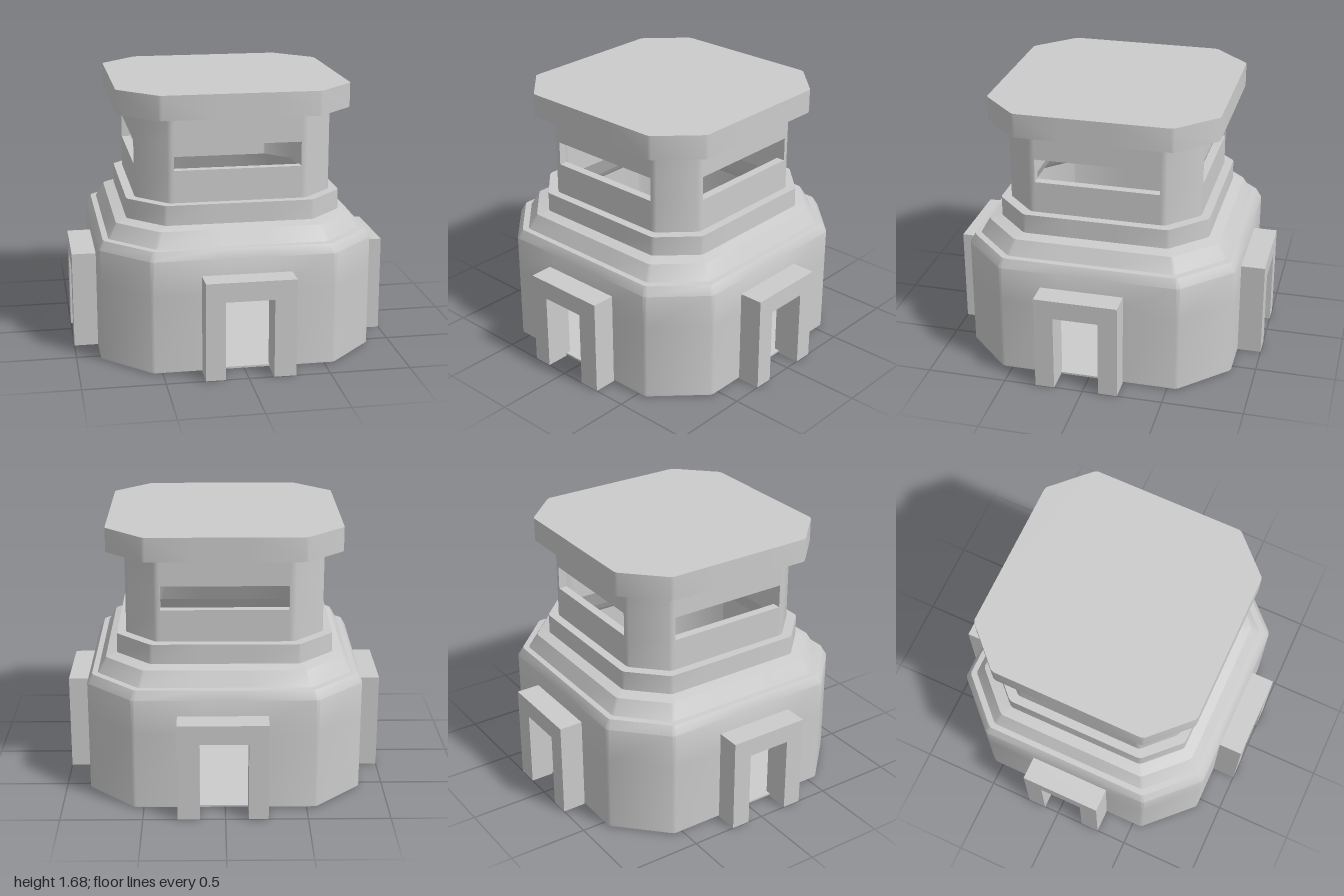
import * as THREE from 'three';
import { toCreasedNormals } from 'three/addons/utils/BufferGeometryUtils.js';

const material = new THREE.MeshStandardMaterial({ color: 0xcccccc });
const CREASE = THREE.MathUtils.degToRad(35);

// Per side (front, left, back, right): portal from/to, doorway from/to
const PORTALS = [
  [-0.26, 0.29, -0.14, 0.155],
  [-0.30, 0.22, -0.18, 0.10],
  [-0.29, 0.26, -0.155, 0.14],
  [-0.22, 0.30, -0.10, 0.18],
];
const DOORS = PORTALS.map((p) => [p[2], p[3]]);
const SLITS = PORTALS.map(() => [-0.39, 0.39]);

const cornerAt = (half) => 0.42 + (half - 0.61) * 0.58;

// Square outline with cut, slightly eased corners; six columns per side
function outline(half, corner, ease, openings, y) {
  const points = [];
  const up = new THREE.Vector3(0, 1, 0);
  const e = ease * Math.SQRT1_2;
  for (let k = 0; k < 4; k++) {
    const [a, b] = openings[k];
    const side = [
      [-corner + ease, half], [a, half], [b, half], [corner - ease, half],
      [corner + e, half - e], [half - e, corner + e],
    ];
    for (const [u, w] of side) {
      points.push(new THREE.Vector3(u, y, w).applyAxisAngle(up, k * Math.PI / 2));
    }
  }
  return points;
}

// Hollow wall from rows of [y, outer half width, inner half width];
// the opening column of each side is left out in openRow
function shell(name, rows, openings, openRow) {
  const outer = rows.map(([y, o]) => outline(o, cornerAt(o), 0.012, openings, y));
  const inner = rows.map(([y, o, i]) =>
    outline(i, cornerAt(o) - (o - i) * 0.414, 0.004, openings, y));
  const n = outer[0].length;
  const positions = [];
  const quad = (a, b, c, d) => {
    for (const p of [a, b, c, a, c, d]) positions.push(p.x, p.y, p.z);
  };
  const solid = (j, i) =>
    j >= 0 && j < rows.length - 1 && !(j === openRow && (i + n) % 6 === 1);

  for (let j = 0; j < rows.length - 1; j++) {
    for (let i = 0; i < n; i++) {
      if (!solid(j, i)) continue;
      const t = (i + 1) % n;
      const [o0, o1, o2, o3] = [outer[j][i], outer[j][t], outer[j + 1][t], outer[j + 1][i]];
      const [i0, i1, i2, i3] = [inner[j][i], inner[j][t], inner[j + 1][t], inner[j + 1][i]];
      quad(o0, o1, o2, o3);
      quad(i0, i3, i2, i1);
      if (!solid(j - 1, i)) quad(o0, i0, i1, o1);
      if (!solid(j + 1, i)) quad(o3, o2, i2, i3);
      if (!solid(j, i - 1)) quad(o0, o3, i3, i0);
      if (!solid(j, i + 1)) quad(o1, i1, i2, o2);
    }
  }
  const geometry = new THREE.BufferGeometry();
  geometry.setAttribute('position', new THREE.Float32BufferAttribute(positions, 3));
  return part(name, geometry);
}

// Solid slab with the same cut-corner outline
function slab(name, half, y0, y1) {
  const points = outline(half, cornerAt(half), 0.012, DOORS, 0);
  const shape = new THREE.Shape(points.map((p) => new THREE.Vector2(p.x, -p.z)));
  const geometry = new THREE.ExtrudeGeometry(shape, { depth: y1 - y0, bevelEnabled: false });
  geometry.rotateX(-Math.PI / 2).translate(0, y0, 0);
  return part(name, geometry);
}

// Square-arched door frame standing out from the wall
function portal(k) {
  const [l, r, a, b] = PORTALS[k];
  const corners = [[l, 0], [a, 0], [a, 0.49], [b, 0.49], [b, 0], [r, 0], [r, 0.61], [l, 0.61]];
  const shape = new THREE.Shape(corners.map(([x, y]) => new THREE.Vector2(x, y)));
  const geometry = new THREE.ExtrudeGeometry(shape, { depth: 0.15, bevelEnabled: false });
  geometry.translate(0, 0, 0.85).rotateY(k * Math.PI / 2);
  return part(['front', 'left', 'back', 'right'][k] + 'DoorFrame', geometry);
}

function part(name, geometry) {
  const mesh = new THREE.Mesh(toCreasedNormals(geometry, CREASE), material);
  mesh.name = name;
  return mesh;
}

export function createModel() {
  const group = new THREE.Group();
  group.name = 'bunkerTower';

  group.add(slab('floor', 0.85, 0.008, 0.02));

  // Base walls stepping in to the collar under the tower
  group.add(shell('baseWalls', [
    [0.02, 0.85, 0.82], [0.49, 0.85, 0.82], [0.71, 0.85, 0.82], [0.765, 0.82, 0.78],
    [0.768, 0.785, 0.745], [0.86, 0.735, 0.69], [0.877, 0.667, 0.61], [1.0, 0.665, 0.555],
  ], DOORS, 0));

  // Lookout room with a slit on every side
  group.add(shell('lookoutWalls', [
    [1.0, 0.61, 0.555], [1.2, 0.61, 0.555], [1.35, 0.61, 0.555], [1.53, 0.61, 0.555],
  ], SLITS, 1));

  group.add(slab('roof', 0.72, 1.53, 1.68));

  for (let k = 0; k < 4; k++) group.add(portal(k));
  return group;
}
